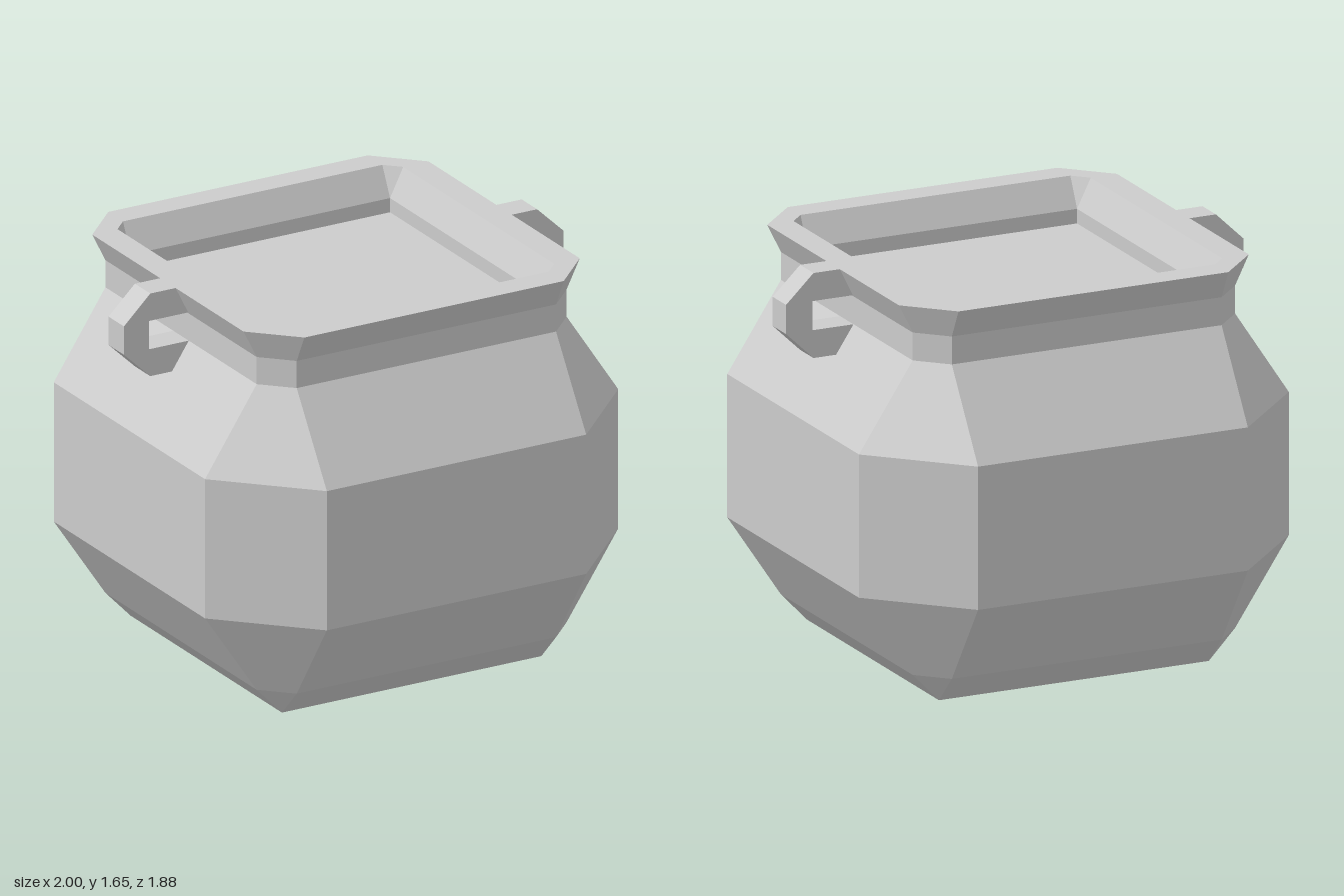
import * as THREE from 'three';

const material = new THREE.MeshStandardMaterial({ color: 0xcccccc, flatShading: true });
const FLAT = 0.59; // half length of the flat sides, shared by every ring

// Chamfered-square ring with flats at distance a, counterclockwise from above
function ring(y, a, s = FLAT) {
  return [[-s, a], [s, a], [a, s], [a, -s], [s, -a], [-s, -a], [-a, -s], [-a, s]]
    .map(([x, z]) => new THREE.Vector3(x, y, z));
}

// Joins successive rings with flat faces, skipping collapsed triangles
function loft(rings) {
  const points = [];
  const add = (...corners) => {
    if (new THREE.Triangle(...corners).getArea() > 1e-6) points.push(...corners);
  };
  for (let r = 0; r < rings.length - 1; r++) {
    const low = rings[r], up = rings[r + 1];
    for (let i = 0; i < 8; i++) {
      const j = (i + 1) % 8;
      add(low[i], low[j], up[j]);
      add(low[i], up[j], up[i]);
    }
  }
  const geometry = new THREE.BufferGeometry().setFromPoints(points);
  geometry.computeVertexNormals();
  return geometry;
}

export function createModel() {
  const model = new THREE.Group();
  model.name = 'pot';

  // Body: base, belly, neck, flared rim, then down the inside to the floor
  const profile = [
    [0, 0, 0], [0, 0.59], [0.12, 0.705], [0.47, 0.94], [1.06, 0.94],
    [1.415, 0.705], [1.53, 0.705], [1.65, 0.765],
    [1.65, 0.65], [1.53, 0.59], [1.47, 0.59], [1.47, 0, 0],
  ];
  const body = new THREE.Mesh(loft(profile.map((p) => ring(...p))), material);
  body.name = 'body';
  model.add(body);

  // Handles: chamfered C shapes reaching from the rim to the shoulder
  const outline = [
    [0.68, 1.65], [0.68, 1.535], [0.885, 1.535], [0.885, 1.415], [0.69, 1.415],
    [0.69, 1.3], [0.88, 1.3], [1, 1.415], [1, 1.535], [0.88, 1.65],
  ];
  const shape = new THREE.Shape(outline.map(([x, y]) => new THREE.Vector2(x, y)));
  const handleGeometry = new THREE.ExtrudeGeometry(shape, { depth: 0.12, bevelEnabled: false });
  handleGeometry.translate(0, 0, -0.06);
  for (const [name, turn] of [['leftHandle', 0], ['rightHandle', Math.PI]]) {
    const handle = new THREE.Mesh(handleGeometry, material);
    handle.name = name;
    handle.rotation.y = turn;
    model.add(handle);
  }
  return model;
}
